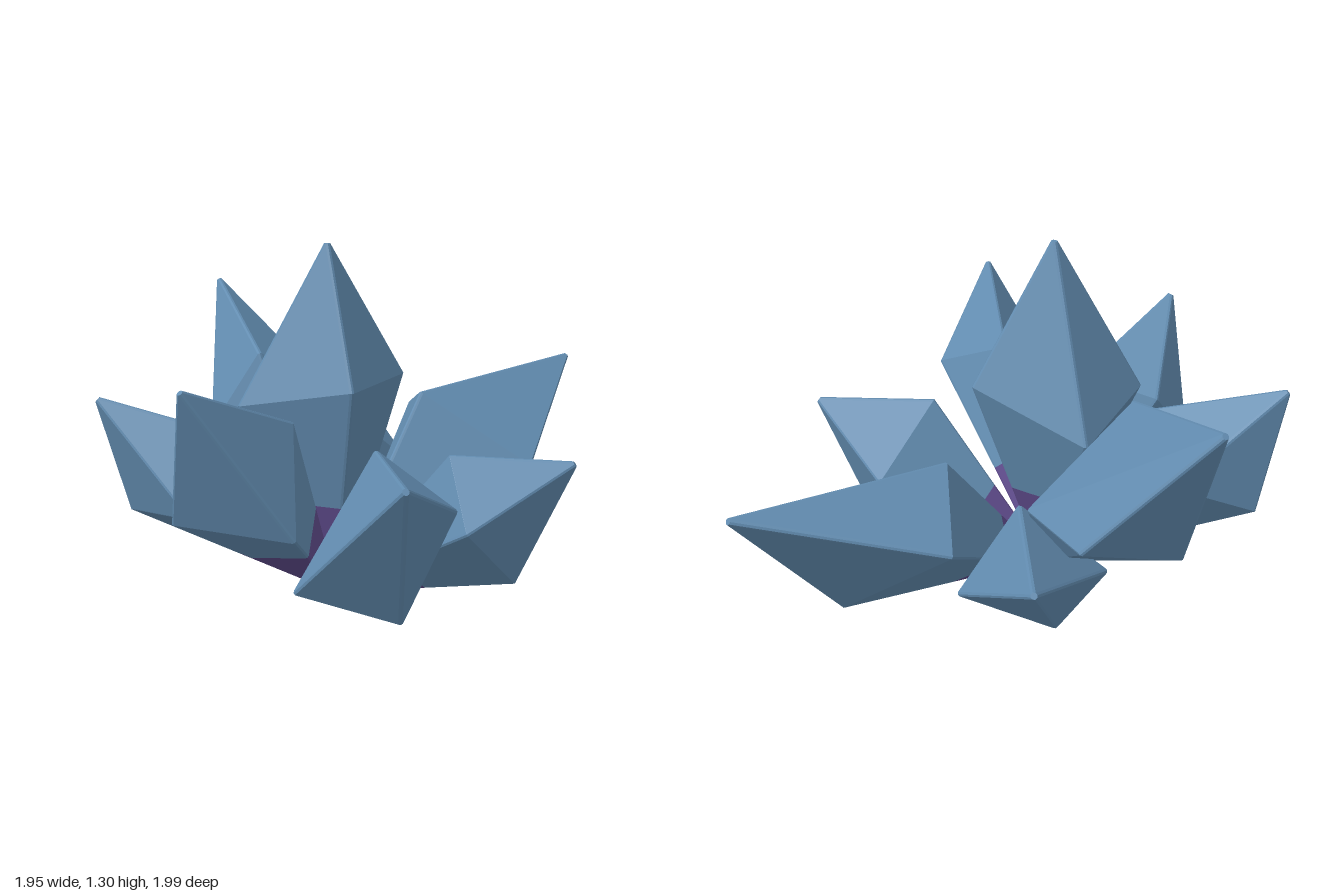
import * as THREE from 'three';
import { ConvexGeometry } from 'three/addons/geometries/ConvexGeometry.js';

// Common root point where every crystal starts
const ROOT = new THREE.Vector3(-0.165, 0.012, -0.1);
const BEVEL = 0.011;

// name, length of the dark base, tip, girdle corners
const CRYSTALS = [
  ['centreCrystal', 0.355, [-0.18, 1.3, -0.09],
    [[-0.16, 0.82, 0.14], [0.1, 0.815, -0.13], [-0.21, 0.685, -0.39], [-0.49, 0.735, -0.13]]],
  ['frontCrystal', 0.375, [-0.24, 0.745, 0.99],
    [[-0.46, 0.31, 0.58], [-0.16, 0.22, 0.69], [0.05, 0.525, 0.59], [-0.14, 0.67, 0.37]]],
  ['leftCrystal', 0.365, [0.97, 0.735, -0.58],
    [[0.64, 0.4, -0.18], [0.62, 0.14, -0.33], [0.32, 0.55, -0.68], [0.26, 0.67, -0.36]]],
  ['tallBackCrystal', 0.35, [-0.41, 1.055, -0.985],
    [[-0.53, 0.57, -0.49], [-0.36, 0.85, -0.43], [0.02, 0.57, -0.54], [-0.05, 0.61, -0.84],
      [-0.435, 0.425, -0.72]]],
  ['lowBackCrystal', 0.35, [0.14, 0.59, -0.975],
    [[-0.04, 0.16, -0.64], [0.27, 0.33, -0.6], [0.04, 0.54, -0.48], [-0.22, 0.32, -0.6]]],
  ['rightCrystal', 0.35, [-0.97, 0.745, -0.33],
    [[-0.86, 0.31, -0.39], [-0.53, 0.49, -0.43], [-0.42, 0.59, -0.09], [-0.7, 0.38, -0.01]]],
  ['frontLeftCrystal', 0.315, [0.58, 0.565, 0.35],
    [[0.42, 0.39, 0.01], [0.18, 0.58, 0.2], [0.17, 0.37, 0.4], [0.41, 0.11, 0.24]]],
  ['frontRightCrystal', 0.345, [-0.75, 0.885, 0.235],
    [[-0.76, 0.38, 0.03], [-0.39, 0.345, 0.23], [-0.35, 0.7, 0.04], [-0.58, 0.64, -0.09]]],
];

// Convex solid over the corners, each widened to a small disc across the axis to bevel the edges
function bevelledHull(corners, axis) {
  const turn = new THREE.Quaternion().setFromUnitVectors(new THREE.Vector3(0, 1, 0), axis);
  const points = [];
  for (const corner of corners) {
    for (let i = 0; i < 8; i++) {
      const a = (i / 8) * Math.PI * 2;
      points.push(new THREE.Vector3(Math.cos(a) * BEVEL, 0, Math.sin(a) * BEVEL)
        .applyQuaternion(turn).add(corner));
    }
  }
  return new ConvexGeometry(points);
}

function makeCrystal([name, baseLength, tipXYZ, girdleXYZ], crystalBlue, basePurple) {
  const crystal = new THREE.Group();
  crystal.name = name;
  const tip = new THREE.Vector3(...tipXYZ);
  const girdle = girdleXYZ.map((p) => new THREE.Vector3(...p));
  const axis = tip.clone().sub(ROOT).normalize();

  // Corners of the flat section where the base colour ends
  const section = girdle.map((p) => {
    const edge = p.clone().sub(ROOT);
    return edge.multiplyScalar(baseLength / edge.dot(axis)).add(ROOT);
  });

  const base = new THREE.Mesh(bevelledHull([ROOT, ...section], axis), basePurple);
  base.name = 'crystalBase';
  const body = new THREE.Mesh(bevelledHull([...section, ...girdle, tip], axis), crystalBlue);
  body.name = 'crystalBody';
  crystal.add(base, body);
  return crystal;
}

export function createModel() {
  const crystalBlue = new THREE.MeshStandardMaterial({ color: 0x628cb0 });
  crystalBlue.name = 'crystalBlue';
  const basePurple = new THREE.MeshStandardMaterial({ color: 0x5f4b8b });
  basePurple.name = 'basePurple';

  const cluster = new THREE.Group();
  cluster.name = 'crystalCluster';
  for (const spec of CRYSTALS) cluster.add(makeCrystal(spec, crystalBlue, basePurple));
  return cluster;
}
